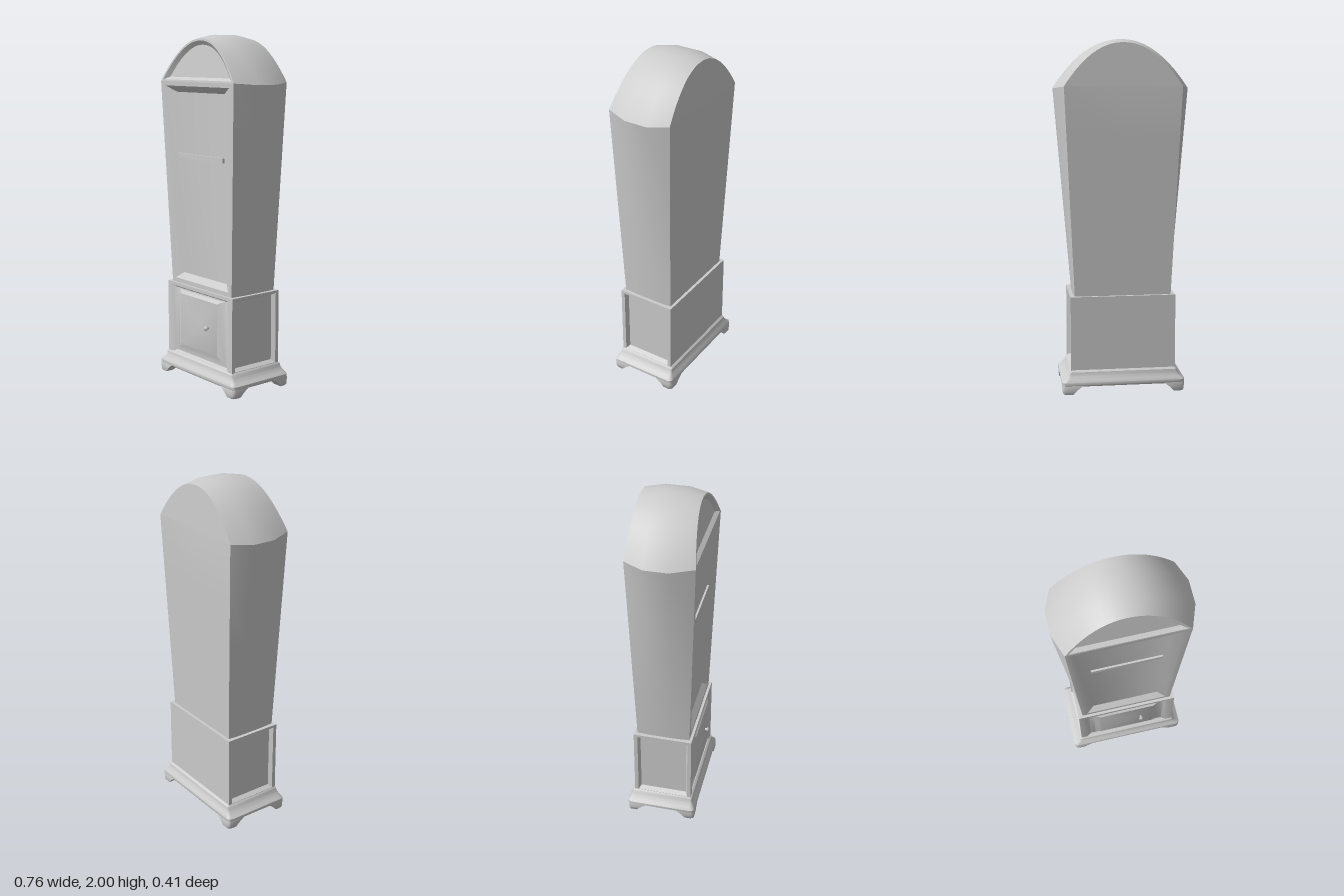
import * as THREE from 'three';
import { toCreasedNormals } from 'three/addons/utils/BufferGeometryUtils.js';

const material = new THREE.MeshStandardMaterial({ color: 0xcccccc, side: THREE.DoubleSide });
const lerp = THREE.MathUtils.lerp;

function mesh(name, geometry) {
  const m = new THREE.Mesh(geometry, material);
  m.name = name;
  return m;
}

// Skin closed rings of [x, y, z], counter-clockwise seen from the end they grow towards
function loft(rings, { cap = true, crease = 0.6, flip = false } = {}) {
  const pos = [];
  const tri = (a, b, c) => (flip ? pos.push(...a, ...c, ...b) : pos.push(...a, ...b, ...c));
  const n = rings[0].length;
  for (let i = 0; i < rings.length - 1; i++) {
    for (let j = 0; j < n; j++) {
      const k = (j + 1) % n;
      const [a, b, c, d] = [rings[i][j], rings[i][k], rings[i + 1][k], rings[i + 1][j]];
      tri(a, b, c);
      tri(a, c, d);
    }
  }
  if (cap) {
    const last = rings[rings.length - 1];
    const mid = [0, 1, 2].map((axis) => last.reduce((s, p) => s + p[axis], 0) / n);
    last.forEach((p, j) => tri(p, last[(j + 1) % n], mid));
  }
  const g = new THREE.BufferGeometry();
  g.setAttribute('position', new THREE.Float32BufferAttribute(pos, 3));
  return toCreasedNormals(g, crease);
}

const BOTTOM = 0.56;

// Depth of the front or back surface at a height: leans out, then back in over the arch
const leaning = (low, mid, top) => (y) =>
  y < 1.74 ? lerp(low, mid, (y - BOTTOM) / (1.74 - BOTTOM)) : lerp(mid, top, (y - 1.74) / 0.24);
const frontZ = leaning(0.158, 0.192, 0.157);
const backZ = leaning(-0.153, -0.188, -0.174);

// Arch points from right to left
function arch(w, y, rise, n = 28) {
  return Array.from({ length: n + 1 }, (_, i) => {
    const u = Math.cos((Math.PI * i) / n);
    return [w * u, y + rise * (1 - Math.abs(u) ** 2.1)];
  });
}

// Tapered sides closed by the arch
function outline(wLow, wTop, y, rise, zOf) {
  const side = [0, 0.25, 0.5, 0.75].map((t) => [lerp(wLow, wTop, t), lerp(BOTTOM, y, t)]);
  const pts = [...side, ...arch(wTop, y, rise), ...side.map(([px, py]) => [-px, py]).reverse()];
  return pts.map(([px, py]) => [px, py, zOf(py)]);
}

function upperCase() {
  const g = new THREE.Group();
  g.name = 'upperCase';

  // Shell: back surface, bulging sides and arched roof
  const back = outline(0.275, 0.33, 1.74, 0.24, backZ);
  g.add(mesh('shell', loft([
    back.map(([, y, z]) => [0, y, z]),
    back,
    outline(0.28, 0.378, 1.73, 0.27, () => -0.075),
    outline(0.28, 0.378, 1.73, 0.27, () => 0.06),
    outline(0.275, 0.33, 1.74, 0.24, frontZ),
  ], { cap: false })));

  // Bevelled frame running into the tall sunken panel
  const frame = [
    [0.275, 0.33, 0.56, 1.74, 0],
    [0.245, 0.29, 0.585, 1.715, 0],
    [0.198, 0.215, 0.62, 1.68, -0.03],
  ];
  g.add(mesh('windowFrame', loft(frame.map(([w0, w1, y0, y1, dz]) =>
    [[-w0, y0], [w0, y0], [w1, y1], [-w1, y1]].map(([x, y]) => [x, y, frontZ(y) + dz])))));

  // Rimmed hollow under the arch
  const hollow = [[0.33, 1.74, 0.24, 0], [0.31, 1.75, 0.218, 0], [0.27, 1.765, 0.18, -0.02]];
  g.add(mesh('archPanel', loft(hollow.map(([w, y, rise, dz]) =>
    arch(w, y, rise).map(([px, py]) => [px, py, frontZ(py) + dz])))));

  // Cross rail on the tall panel
  const rail = mesh('crossRail', new THREE.BoxGeometry(0.4, 0.028, 0.02));
  rail.position.set(0, 1.316, 0.151);
  g.add(rail);
  return g;
}

// Stepped panel of nested rectangles [halfWidth, y0, y1, z], facing +z
const steppedPanel = (steps) => loft(steps.map(([w, y0, y1, z]) =>
  [[-w, y0, z], [w, y0, z], [w, y1, z], [-w, y1, z]]));

function lowerCase() {
  const g = new THREE.Group();
  g.name = 'lowerCase';

  // Front with raised door panel
  g.add(mesh('cabinetFront', steppedPanel([
    [0.3, 0.1, BOTTOM, 0.174], [0.262, 0.125, 0.54, 0.174], [0.235, 0.145, 0.53, 0.158],
    [0.205, 0.17, 0.522, 0.16], [0.17, 0.2, 0.505, 0.178],
  ])));

  // Sunken sides
  for (const s of [-1, 1]) {
    const side = mesh(s > 0 ? 'leftSide' : 'rightSide', steppedPanel([
      [0.172, 0.1, BOTTOM, 0.3], [0.15, 0.135, 0.545, 0.3], [0.138, 0.15, 0.535, 0.275],
    ]));
    side.rotation.y = (s * Math.PI) / 2;
    side.position.z = 0.002;
    g.add(side);
  }

  // Plain back and top
  const back = mesh('cabinetBack', new THREE.PlaneGeometry(0.6, 0.46));
  back.rotation.y = Math.PI;
  back.position.set(0, 0.33, -0.17);
  const top = mesh('cabinetTop', new THREE.PlaneGeometry(0.6, 0.344));
  top.rotation.x = -Math.PI / 2;
  top.position.set(0, BOTTOM, 0.002);
  g.add(back, top);

  // Door knob
  const profile = [[0, 0], [0.007, 0], [0.007, 0.012], [0.014, 0.018], [0.014, 0.025], [0, 0.03]];
  const knob = mesh('knob', new THREE.LatheGeometry(profile.map(([x, y]) => new THREE.Vector2(x, y)), 12));
  knob.rotation.x = Math.PI / 2;
  knob.position.set(0.09, 0.35, 0.175);
  g.add(knob);
  return g;
}

// Rounded rectangle in plan, counter-clockwise from above
function planRing(w, d, r, y, steps = 4) {
  const pts = [];
  [[1, 1], [1, -1], [-1, -1], [-1, 1]].forEach(([sx, sz], q) => {
    for (let i = 0; i <= steps; i++) {
      const a = -Math.PI / 2 + ((q + i / steps) * Math.PI) / 2;
      pts.push([sx * (w - r) + r * Math.cos(a), y, sz * (d - r) - r * Math.sin(a)]);
    }
  });
  return pts;
}

function base() {
  const g = new THREE.Group();
  g.name = 'base';

  // Flared plinth with hollow underside
  const plinth = [
    [0.29, 0.15, 0.01, 0.085], [0.315, 0.17, 0.01, 0.05], [0.345, 0.2, 0.025, 0.047],
    [0.353, 0.205, 0.025, 0.055], [0.353, 0.205, 0.025, 0.07], [0.335, 0.195, 0.02, 0.085],
    [0.315, 0.185, 0.015, 0.105], [0.308, 0.182, 0.01, 0.125], [0.298, 0.17, 0.01, 0.135],
  ];
  g.add(mesh('plinth', loft(plinth.map(([w, d, r, y]) => planRing(w, d, r, y)))));
  const floor = mesh('underside', new THREE.PlaneGeometry(0.6, 0.32));
  floor.rotation.x = Math.PI / 2;
  floor.position.y = 0.084;
  g.add(floor);

  // Tapered corner feet: [inner x, outer x, inner z, outer z, y]
  const foot = [
    [0.24, 0.345, 0.105, 0.198, 0.07], [0.235, 0.352, 0.1, 0.204, 0.05],
    [0.268, 0.35, 0.132, 0.204, 0.025], [0.285, 0.348, 0.148, 0.203, 0.006],
    [0.29, 0.343, 0.153, 0.199, 0],
  ];
  for (const sx of [-1, 1]) {
    for (const sz of [-1, 1]) {
      const rings = foot.map(([x0, x1, z0, z1, y]) => {
        const r = 0.018;
        return [[x0, z0], [x1, z0], [x1, z1 - r], [x1 - r * 0.3, z1 - r * 0.3], [x1 - r, z1], [x0, z1]]
          .map(([x, z]) => [sx * x, y, sz * z]);
      });
      g.add(mesh('foot', loft(rings, { crease: 0.9, flip: sx * sz < 0 })));
    }
  }
  return g;
}

export function createModel() {
  const model = new THREE.Group();
  model.name = 'archedCabinet';
  model.add(upperCase(), lowerCase(), base());
  return model;
}
